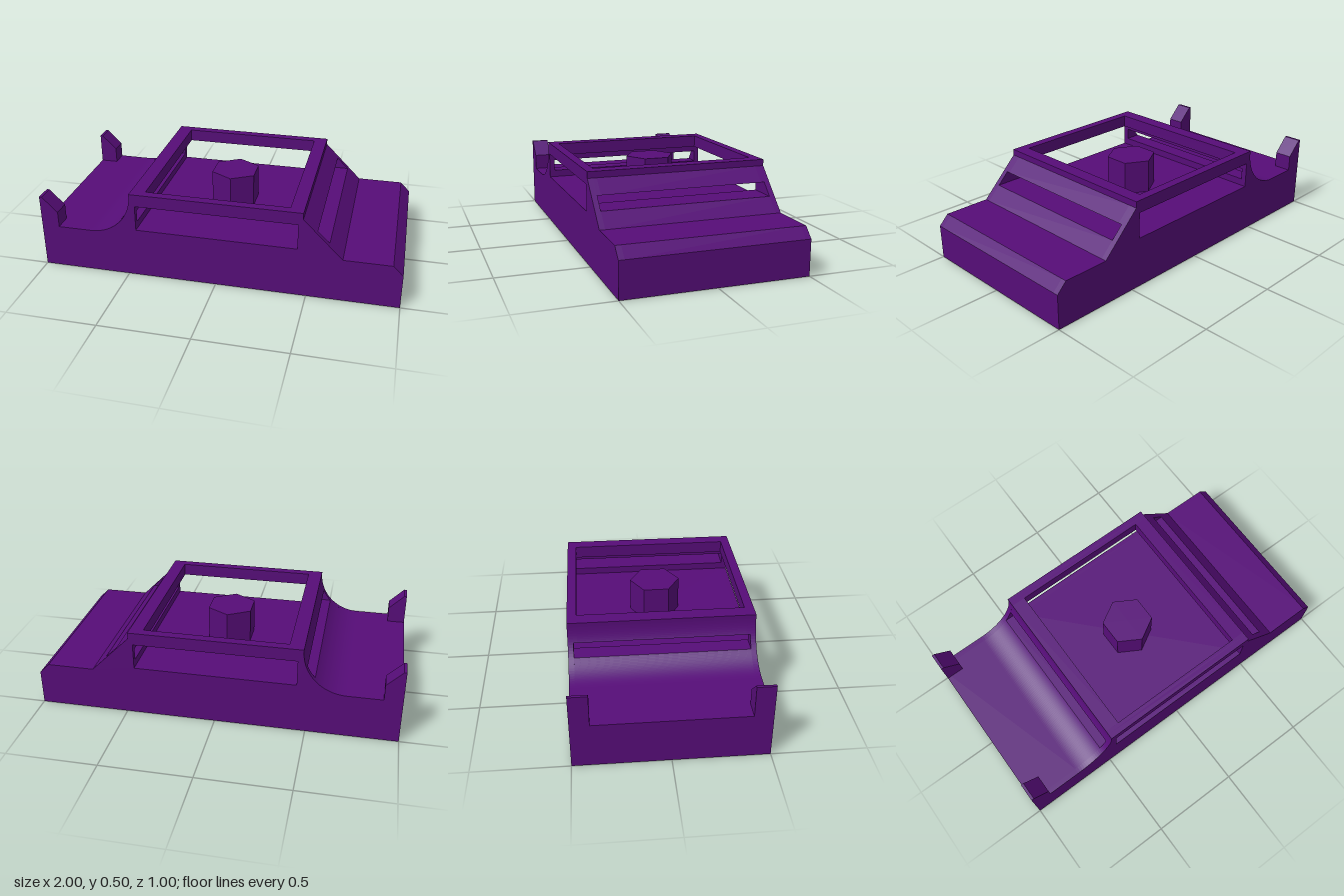
import * as THREE from 'three';

const material = new THREE.MeshStandardMaterial({ color: 0x560d78, flatShading: true });

// Concave rear screen: quarter circle centred at (-0.71, 0.485)
const CX = -0.71, CY = 0.485, R = 0.235;
function rearCurve(yFrom, yTo, n = 24) {
  const angle = y => Math.asin(Math.max(-1, Math.min(1, (y - CY) / R)));
  const a = angle(yFrom), b = angle(yTo);
  return Array.from({ length: n + 1 }, (_, i) => {
    const t = a + (b - a) * i / n;
    return [CX + R * Math.cos(t), CY + R * Math.sin(t)];
  });
}
// Sloping windscreen
const slopeX = y => 0.935 - y;

const path = pts => pts.map(p => new THREE.Vector2(p[0], p[1]));

export function createModel() {
  const model = new THREE.Group();
  model.name = 'car';

  // Side profile extruded from z0 to z1
  function slab(name, pts, z0, z1, hole) {
    const shape = new THREE.Shape(path(pts));
    if (hole) shape.holes.push(new THREE.Path(path(hole)));
    const geo = new THREE.ExtrudeGeometry(shape, { depth: z1 - z0, bevelEnabled: false });
    geo.translate(0, 0, z0);
    const mesh = new THREE.Mesh(geo, material);
    mesh.name = name;
    model.add(mesh);
  }

  const W = 0.445, FLOOR = 0.285, HEAD = 0.43;  // side window opening
  const SILL = 0.325, LINTEL = 0.39;            // windscreen and rear window slots
  const lower = [[-1, 0], [1, 0], [1, 0.195], [0.945, 0.25], [0.685, 0.25]];
  const roofFront = [[0.47, 0.465], [0.47, 0.5]];

  // Chassis with cabin floor and window sills
  slab('body', [
    ...lower, [slopeX(SILL), SILL], [W, SILL], [W, FLOOR], [-W, FLOOR], [-W, SILL],
    ...rearCurve(SILL, 0.25), [-1, 0.25],
  ], -0.47, 0.47);

  // Roof crossbars, leaving the roof open between them
  slab('frontRoofBar', [
    [W, LINTEL], [slopeX(LINTEL), LINTEL], ...roofFront, [0.395, 0.5], [0.395, HEAD], [W, HEAD],
  ], -0.45, 0.45);
  slab('rearRoofBar', [
    ...rearCurve(CY, LINTEL, 10), [-W, LINTEL], [-W, HEAD], [-0.395, HEAD], [-0.395, 0.5], [-0.475, 0.5],
  ], -0.45, 0.45);

  for (const s of [1, -1]) {
    const side = s > 0 ? 'front' : 'back';
    const span = (a, b) => (s > 0 ? [a, b] : [-b, -a]);

    // Roof rail lip inside the side wall
    slab(side + 'RoofRail', [
      [W, LINTEL], [slopeX(LINTEL), LINTEL], ...roofFront, [-0.475, 0.5],
      ...rearCurve(CY, LINTEL, 10), [-W, LINTEL], [-W, HEAD], [W, HEAD],
    ], ...span(0.45, 0.47));

    // Side wall with its window
    slab(side + 'SideWall', [
      ...lower, ...roofFront, [-0.475, 0.5], ...rearCurve(CY, 0.25), [-1, 0.25],
    ], ...span(0.47, 0.5), [[-W, FLOOR], [-W, HEAD], [W, HEAD], [W, FLOOR]]);

    // Tail fin at the rear corner
    slab(side + 'TailFin', [
      [-1, 0.25], [-0.9, 0.25], [-0.9, 0.34], [-0.985, 0.425], [-1, 0.425],
    ], ...span(0.4, 0.5));
  }

  // Hexagonal post standing in the cabin
  const post = new THREE.Mesh(new THREE.CylinderGeometry(0.14, 0.14, 0.19, 6), material);
  post.name = 'hexPost';
  post.position.y = FLOOR + 0.095;
  model.add(post);

  return model;
}
